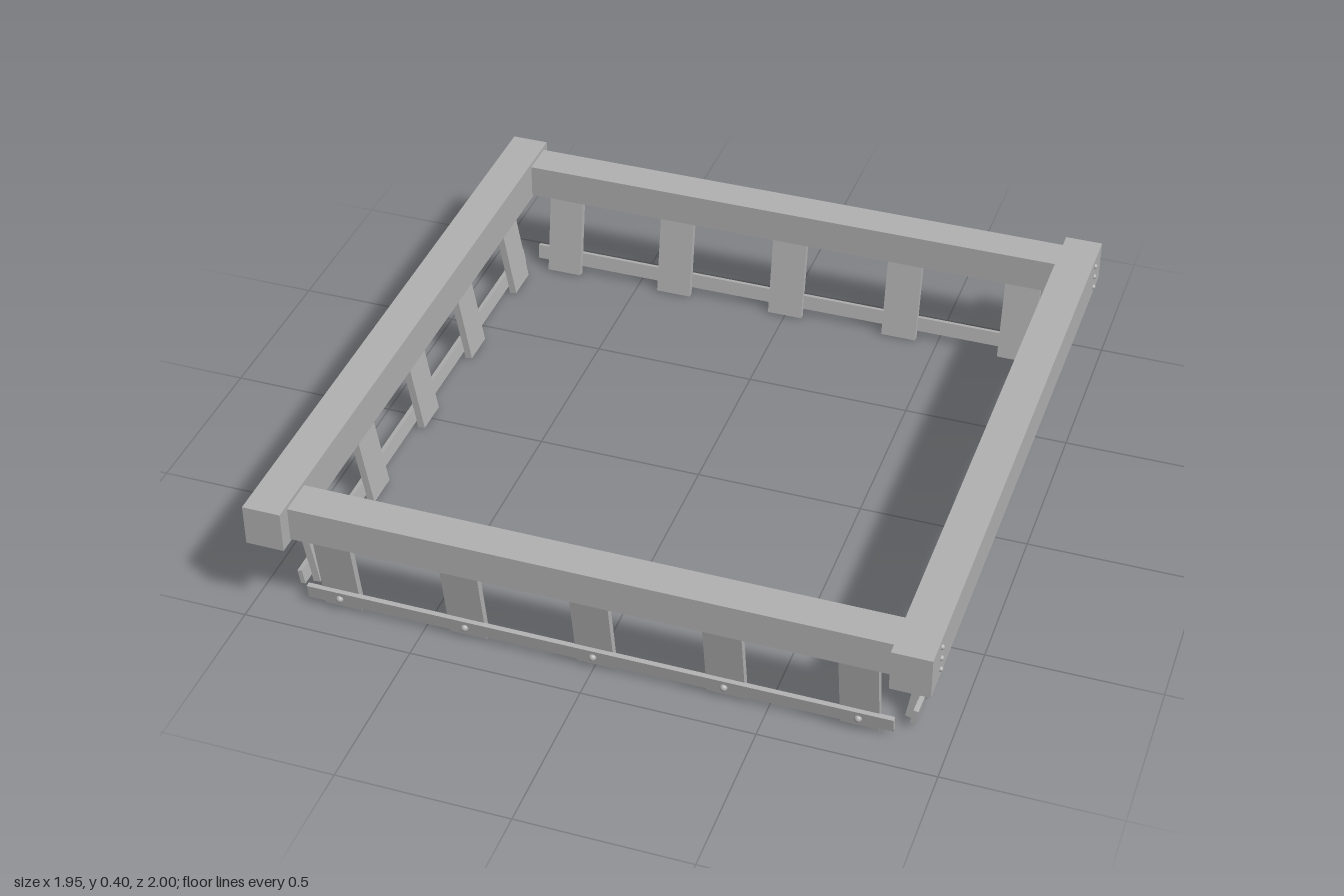
import * as THREE from 'three';

export function createModel() {
  const model = new THREE.Group();
  const steel = new THREE.MeshStandardMaterial({ color: 0xb0b0b0 });
  steel.name = 'grey';

  function add(parent, name, geometry, x, y, z) {
    const mesh = new THREE.Mesh(geometry, steel);
    mesh.name = name;
    mesh.position.set(x, y, z);
    parent.add(mesh);
    return mesh;
  }
  const box = (w, h, d) => new THREE.BoxGeometry(w, h, d);

  // Long side beams with three bolts at each end
  const beamBolt = new THREE.SphereGeometry(0.008, 12, 8);
  for (const s of [-1, 1]) {
    add(model, 'sideBeam', box(0.112, 0.125, 2), s * 0.911, 0.334, 0);
    for (const z of [-0.91, 0.91])
      for (const y of [0.295, 0.333, 0.371]) add(model, 'beamBolt', beamBolt, s * 0.967, y, z);
  }

  // Cross beams fitted between the side beams
  add(model, 'frontBeam', box(1.72, 0.105, 0.11), 0, 0.332, 0.901);
  add(model, 'backBeam', box(1.72, 0.105, 0.11), 0, 0.332, -0.917);

  // One leaning rack of slats, an outer rail and its bolts
  const slat = box(0.11, 0.288, 0.022);
  const rail = box(1.7, 0.046, 0.014);
  const railBolt = new THREE.SphereGeometry(0.011, 14, 10);
  function rack(name) {
    const pivot = new THREE.Group();
    pivot.name = name;
    const lean = new THREE.Group();
    lean.position.set(0, 0.002, 0.868);
    lean.rotation.x = 0.165;
    pivot.add(lean);
    for (let i = -2; i <= 2; i++) {
      add(lean, 'slat', slat, i * 0.376, 0.144, 0);
      add(lean, 'railBolt', railBolt, i * 0.376, 0.048, 0.025);
    }
    add(lean, 'rail', rail, 0, 0.048, 0.017);
    return pivot;
  }
  ['frontRack', 'leftRack', 'backRack', 'rightRack'].forEach((name, i) => {
    const r = rack(name);
    r.rotation.y = i * Math.PI / 2;
    model.add(r);
  });
  return model;
}
